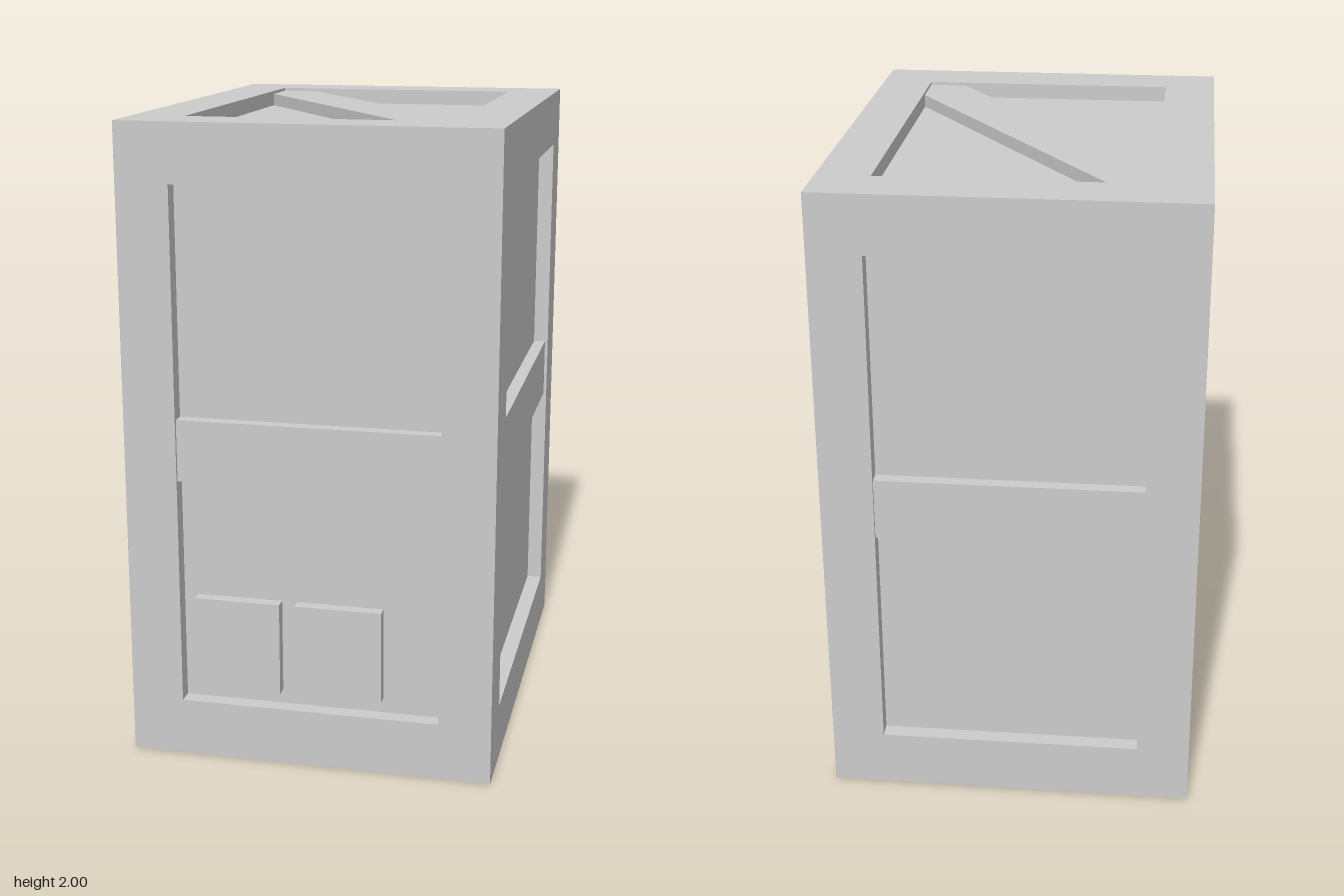
import * as THREE from 'three';

const W = 1.15, H = 2, D = 1.5;            // outer size
const BX = 0.165, BY = 0.182, BZ = 0.175;  // beam thickness along each axis
const IX = W / 2 - BX, IZ = D / 2 - BZ;    // half openings
const PANEL = 0.05, BOARD = 0.01;          // recess of panels and boards

export function createModel() {
  const crate = new THREE.Group();
  crate.name = 'crate';
  const material = new THREE.MeshStandardMaterial({ color: 0xcccccc, flatShading: true });

  const add = (name, geometry, x, y, z) => {
    const mesh = new THREE.Mesh(geometry, material);
    mesh.name = name;
    mesh.position.set(x, y, z);
    crate.add(mesh);
  };
  const box = (name, w, h, d, x, y, z) => add(name, new THREE.BoxGeometry(w, h, d), x, y, z);

  // Recessed panels on all six sides, as one closed body
  box('panels', W - 2 * PANEL, H - 2 * PANEL, D - 2 * PANEL, 0, H / 2, 0);

  // Frame: four corner posts, with rails between them at top and bottom
  for (const sx of [-1, 1]) {
    for (const sz of [-1, 1]) {
      box('cornerPost', BX, H, BZ, sx * (IX + BX / 2), H / 2, sz * (IZ + BZ / 2));
    }
  }
  for (const y of [BY / 2, H - BY / 2]) {
    for (const s of [-1, 1]) {
      box('crossRail', 2 * IX, BY, BZ, 0, y, s * (IZ + BZ / 2));
      box('sideRail', BX, BY, 2 * IZ, s * (IX + BX / 2), y, 0);
    }
  }

  // Horizontal board across the middle of each wall
  const bandH = 0.195, bandY = 1.003, t = 0.08;
  for (const s of [-1, 1]) {
    box('endBoard', 2 * IX, bandH, t, 0, bandY, s * (D / 2 - BOARD - t / 2));
    box('sideBoard', t, bandH, 2 * IZ, s * (W / 2 - BOARD - t / 2), bandY, 0);
  }

  // Diagonal boards on the lid and the base, trimmed to the frame opening
  const outline = [[-IX, -IZ], [-0.29, -IZ], [IX, 0.425], [IX, IZ], [0.29, IZ], [-IX, -0.425]];
  const shape = new THREE.Shape(outline.map(([x, z]) => new THREE.Vector2(x, z)));
  const diagonal = new THREE.ExtrudeGeometry(shape, { depth: t, bevelEnabled: false });
  diagonal.rotateX(Math.PI / 2);
  add('topDiagonalBoard', diagonal, 0, H - BOARD, 0);
  add('bottomDiagonalBoard', diagonal, 0, BOARD + t, 0);

  // Two small plates low on the front panel
  for (const x of [-0.23, 0.092]) {
    box('frontPlate', 0.273, 0.297, 0.06, x, 0.377, 0.738 - 0.03);
  }

  return crate;
}
